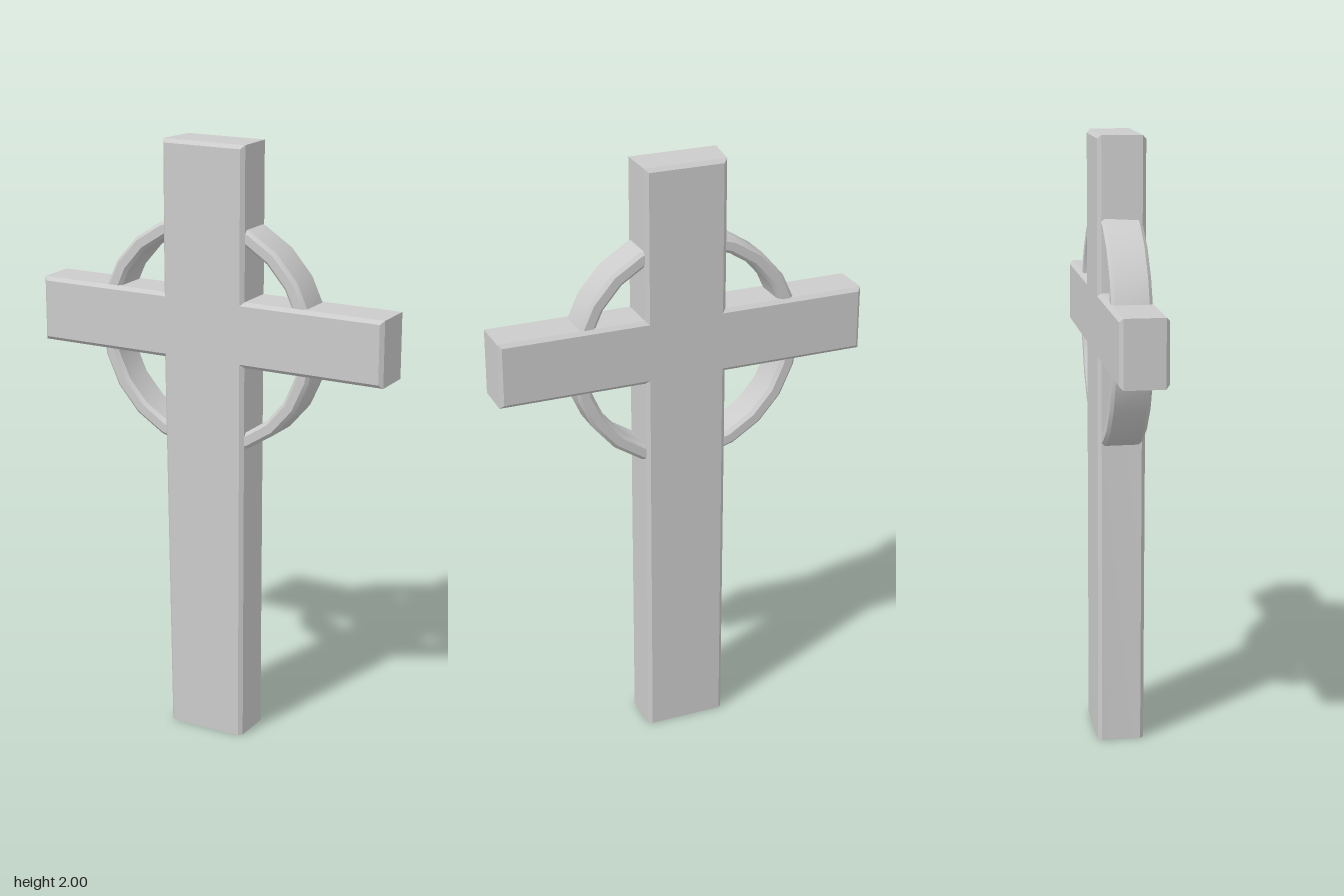
import * as THREE from 'three';
import { toCreasedNormals } from 'three/addons/utils/BufferGeometryUtils.js';

const BEVEL = 0.012, HALF_DEPTH = 0.076;

// Left side of the shaft: a little wider at the front of the upper part
const FRONT_LEFT = -0.16, BACK_LEFT = -0.138;
// Outline, counterclockwise: x, y and the inward direction of the bevel.
// A null x lies on the slanted left side of the shaft.
const OUTLINE = [
  [BACK_LEFT, 0, 1, 0], [0.135, 0, -1, 0],
  [0.135, 1.29, -1, 1], [0.62, 1.29, -1, 1],
  [0.62, 1.505, -1, -1], [0.135, 1.505, -1, -1],
  [0.135, 2, -1, -1], [null, 2, 1, -1],
  [null, 1.505, 1, -1], [-0.62, 1.505, 1, -1],
  [-0.62, 1.29, 1, 1], [null, 1.29, 1, 1],
];

// One cross-section of the cross at depth z
function section(z, inset) {
  const slant = THREE.MathUtils.mapLinear(z, -HALF_DEPTH, HALF_DEPTH, BACK_LEFT, FRONT_LEFT);
  return OUTLINE.map(([x, y, dx, dy]) =>
    new THREE.Vector3((x ?? slant) + dx * inset, y + dy * inset, z));
}

function crossGeometry() {
  const sections = [
    section(-HALF_DEPTH, BEVEL), section(-HALF_DEPTH + BEVEL, 0),
    section(HALF_DEPTH - BEVEL, 0), section(HALF_DEPTH, BEVEL),
  ];
  const n = OUTLINE.length, index = [];
  // Sides and bevels
  for (let s = 0; s < 3; s++) {
    for (let i = 0; i < n; i++) {
      const a = s * n + i, b = s * n + (i + 1) % n;
      index.push(a, b, b + n, a, b + n, a + n);
    }
  }
  // Front and back faces
  const cap = (s, flip) => {
    const flat = sections[s].map((p) => new THREE.Vector2(p.x, p.y));
    for (const [a, b, c] of THREE.ShapeUtils.triangulateShape(flat, [])) {
      index.push(...(flip ? [a, c, b] : [a, b, c]).map((k) => k + s * n));
    }
  };
  cap(0, true);
  cap(3, false);
  const geometry = new THREE.BufferGeometry().setFromPoints(sections.flat());
  geometry.setIndex(index);
  return toCreasedNormals(geometry, 0.3);
}

// Bevelled ring with 22 sides
function ringGeometry() {
  const outer = 0.39, inner = 0.34, h = 0.064, b = 0.011;
  const profile = [
    [outer, -h + b], [outer, h - b], [outer - b, h], [inner + b, h],
    [inner, h - b], [inner, -h + b], [inner + b, -h], [outer - b, -h], [outer, -h + b],
  ].map(([x, y]) => new THREE.Vector2(x, y));
  const geometry = new THREE.LatheGeometry(profile, 22, Math.PI / 2);
  geometry.rotateX(Math.PI / 2);
  return toCreasedNormals(geometry, 0.5);
}

export function createModel() {
  const group = new THREE.Group();
  group.name = 'ringedCross';
  const material = new THREE.MeshStandardMaterial({ color: 0xcccccc });

  const cross = new THREE.Mesh(crossGeometry(), material);
  cross.name = 'cross';

  const ring = new THREE.Mesh(ringGeometry(), material);
  ring.name = 'ring';
  ring.position.set(-0.015, 1.375, -0.001);

  group.add(cross, ring);
  return group;
}
